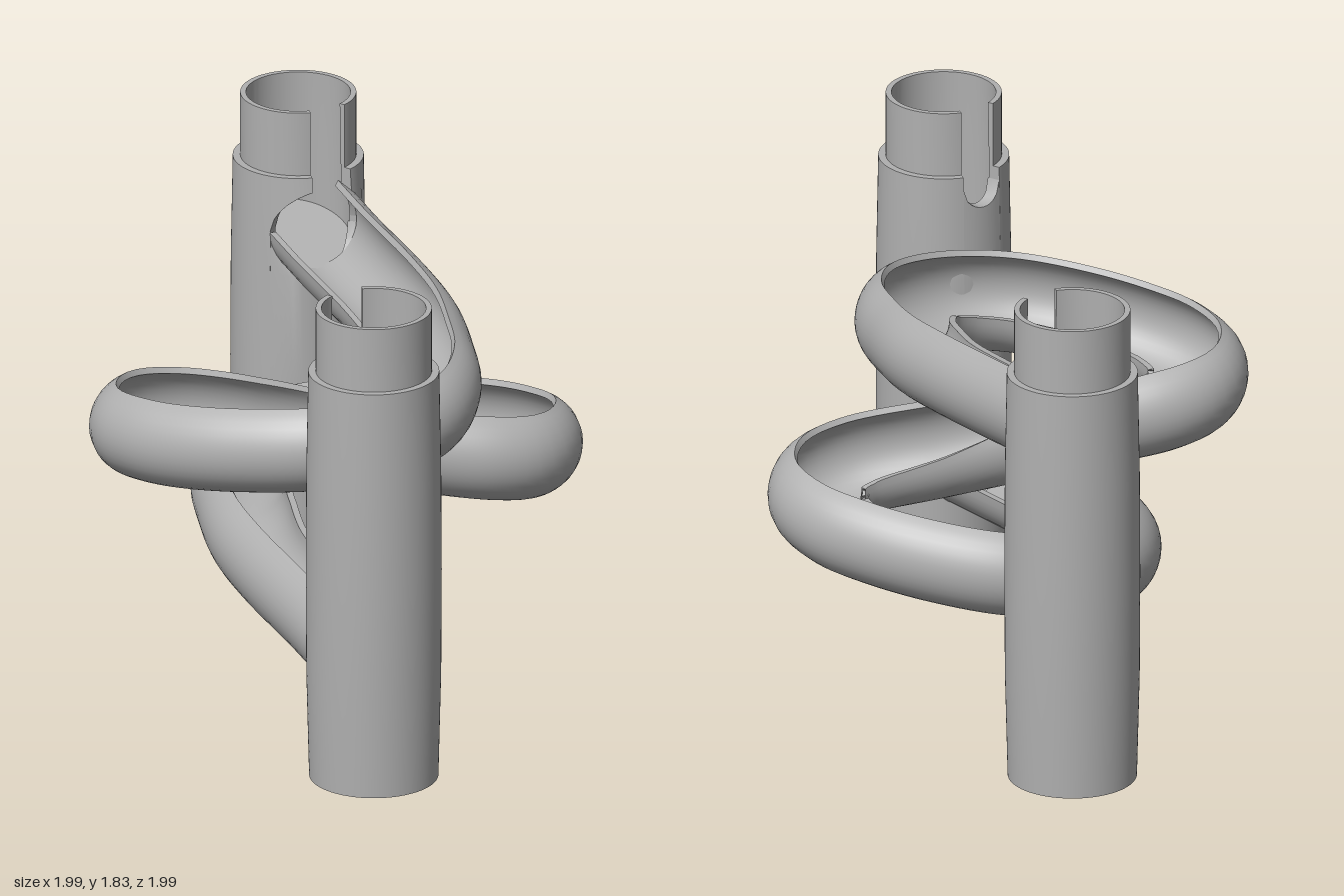
import * as THREE from 'three';
import { toCreasedNormals } from 'three/addons/utils/BufferGeometryUtils.js';

const AXIS = 0.75;          // distance of each tower axis from x = 0 and z = 0
const MID = 0.91;           // height of the point the path is symmetric about
const deg = THREE.MathUtils.degToRad;

// Skin made of closed loops: at(i, j) gives point j of loop i
function loft(loops, points, at) {
  const pos = [], idx = [];
  for (let i = 0; i < loops; i++) {
    for (let j = 0; j < points; j++) {
      pos.push(...at(i, j).toArray());
      if (i === loops - 1) continue;
      const a = i * points + j, b = i * points + (j + 1) % points;
      idx.push(a, a + points, b, b, a + points, b + points);
    }
  }
  const g = new THREE.BufferGeometry();
  g.setAttribute('position', new THREE.Float32BufferAttribute(pos, 3));
  g.setIndex(idx);
  return toCreasedNormals(g, 0.5);
}

// Wall rows: height, outer radius, inner radius
const ROWS = [
  [0, 0.235, 0.212], [0.4, 0.245, 0.205], [0.8, 0.247, 0.2], [1.2, 0.245, 0.198],
  [1.58, 0.238, 0.195], [1.58, 0.211, 0.195], [1.825, 0.211, 0.19],
];

// Sector of tower wall from angle t0 to t1 (degrees from +x towards +z), cut between lo and hi
function wallSector(t0, t1, lo, hi) {
  const n = Math.max(8, Math.ceil((t1 - t0) / 4)), k = ROWS.length;
  return loft(n + 3, 2 * k, (i, j) => {
    const t = t1 - (t1 - t0) * THREE.MathUtils.clamp((i - 1) / n, 0, 1);
    const row = ROWS[j < k ? j : 2 * k - 1 - j];
    const end = i === 0 || i === n + 2;       // end loops close the wall thickness
    const r = j < k || end ? row[1] : row[2];
    const y = THREE.MathUtils.clamp(row[0], lo(t), hi(t));
    return new THREE.Vector3(r * Math.cos(deg(t)), y, r * Math.sin(deg(t)));
  });
}

// Hollow tower with a round track opening and a slot through its collar
function tower(name, turn, openingY, slotMeetsOpening, mat) {
  const group = new THREE.Group();
  group.name = name;
  const facing = 29, half = 48, from = facing - half, to = facing + half;
  const reach = t => Math.sqrt(Math.max(0, 0.175 ** 2 - (0.235 * Math.sin(deg(t - facing))) ** 2));
  const below = t => openingY - reach(t), above = t => openingY + reach(t);
  const bottom = () => 0, top = () => 1.825;
  const slotFloor = t => 1.53 - 0.08 * Math.sqrt(Math.max(0, 1 - ((t - 20) / 20) ** 2));
  const parts = [
    ['towerWall', to, from + 360, bottom, top],
    ['wallUnderOpening', from, to, bottom, below],
    ['wallBesideSlot', from, 0, above, top],
    ['wallBesideSlot', 40, to, above, top],
  ];
  if (!slotMeetsOpening) parts.push(['wallUnderSlot', 0, 40, above, slotFloor]);
  for (const [part, t0, t1, lo, hi] of parts) {
    const mesh = new THREE.Mesh(wallSector(t0, t1, lo, hi), mat);
    mesh.name = part;
    group.add(mesh);
  }
  group.rotation.y = -deg(turn);
  return group;
}

// First half of the track path; the second half is its half-turn copy
const HALF = [
  [-0.61, 1.36, -0.675], [-0.4, 1.335, -0.56], [-0.04, 1.3, -0.37], [0.17, 1.275, -0.24],
  [0.325, 1.25, -0.105], [0.48, 1.225, 0.06], [0.55, 1.2, 0.24], [0.5, 1.175, 0.42],
  [0.35, 1.15, 0.57], [0.1, 1.115, 0.67], [-0.12, 1.085, 0.705], [-0.28, 1.065, 0.695],
  [-0.41, 1.04, 0.635], [-0.465, 1.02, 0.51], [-0.415, 0.995, 0.384], [-0.2, 0.95, 0.185],
];

// Banked open gutter: the wall on the outside of each bend is higher
function trackGeometry() {
  const p = HALF.map(a => new THREE.Vector3(...a));
  const back = p.map(v => new THREE.Vector3(-v.x, 2 * MID - v.y, -v.z)).reverse();
  const path = new THREE.CatmullRomCurve3([...p, new THREE.Vector3(0, MID, 0), ...back]);
  path.arcLengthDivisions = 1000;
  const n = 240, k = 28, up = new THREE.Vector3(0, 1, 0);
  const stations = [];
  for (let i = 0; i <= n; i++) {
    const side = up.clone().cross(path.getTangentAt(i / n)).normalize();
    stations.push({ at: path.getPointAt(i / n), side });
  }
  return loft(n + 3, 2 * k, (i, j) => {
    const s = THREE.MathUtils.clamp(i - 1, 0, n);
    const { at, side } = stations[s];
    const bank = THREE.MathUtils.smoothstep(s / n, 0.42, 0.58);
    const left = deg(62) * (1 - bank), right = deg(62) * bank;
    const f = (j < k ? j : 2 * k - 1 - j) / (k - 1);
    const a = left - f * (Math.PI + left + right);
    const r = j < k || i === 0 || i === n + 2 ? 0.184 : 0.16;
    const v = at.clone().addScaledVector(side, r * Math.cos(a)).addScaledVector(up, r * Math.sin(a));
    // Trim the lower end to the inside of its tower
    const dx = v.x - AXIS, dz = v.z - AXIS, d = Math.hypot(dx, dz);
    if (d < 0.21) {
      v.x = AXIS + dx * 0.21 / d;
      v.z = AXIS + dz * 0.21 / d;
    }
    return v;
  });
}

// Sloping floor that sends a ball from the start tower onto the track
function floorGeometry() {
  const g = new THREE.CylinderGeometry(0.205, 0.205, 0.04, 48);
  const pos = g.attributes.position;
  for (let i = 0; i < pos.count; i++) {
    const along = pos.getX(i) * 0.87 + pos.getZ(i) * 0.48;
    pos.setY(i, pos.getY(i) + 1.24 - 0.35 * along);
  }
  g.computeVertexNormals();
  return g;
}

export function createModel() {
  const grey = new THREE.MeshStandardMaterial({ color: 0xb0b0b0 });
  grey.name = 'plain grey';
  const model = new THREE.Group();
  model.name = 'marbleRun';

  const start = tower('startTower', 0, 1.355, true, grey);
  start.position.set(-AXIS, 0, -AXIS);
  const floor = new THREE.Mesh(floorGeometry(), grey);
  floor.name = 'startFloor';
  start.add(floor);

  const finish = tower('finishTower', 180, 0.465, false, grey);
  finish.position.set(AXIS, 0, AXIS);

  const track = new THREE.Mesh(trackGeometry(), grey);
  track.name = 'spiralTrack';

  model.add(start, finish, track);
  return model;
}
